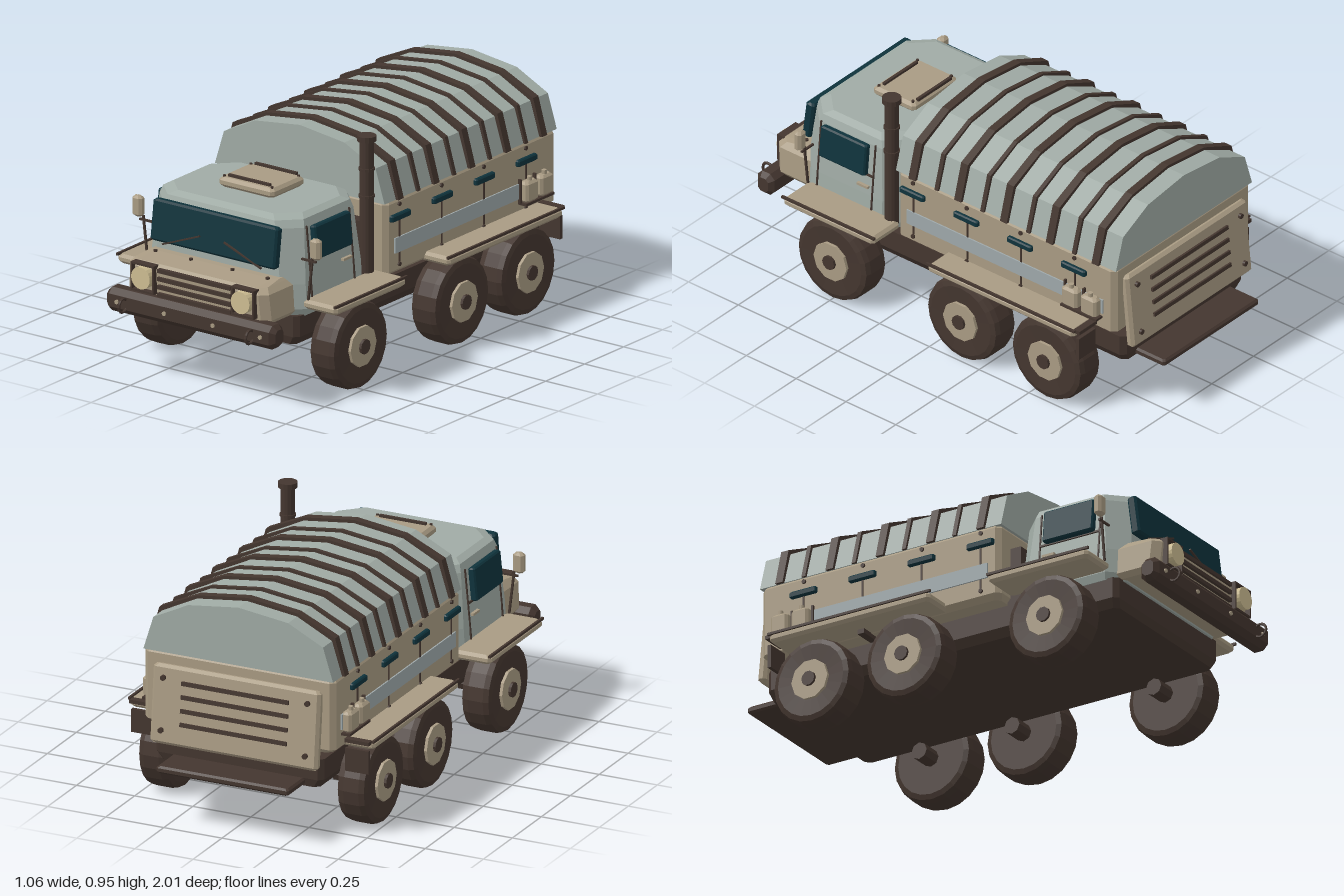
import * as THREE from 'three';

const mat = (name, color) => {
  const m = new THREE.MeshStandardMaterial({ color });
  m.name = name;
  m.flatShading = true;
  return m;
};

// Stack of chamfered rectangles, each ring = [y, halfWidth, zBack, zFront, cornerCut]
function loft(rings) {
  const pos = [], idx = [];
  for (const [y, h, a, b, c] of rings) {
    for (const [x, z] of [[h, b - c], [h, a + c], [h - c, a], [c - h, a],
      [-h, a + c], [-h, b - c], [c - h, b], [h - c, b]]) pos.push(x, y, z);
  }
  const top = (rings.length - 1) * 8;
  for (let i = 0; i < top; i += 8) for (let j = 0; j < 8; j++) {
    const k = (j + 1) % 8;
    idx.push(i + j, i + k, i + 8 + k, i + j, i + 8 + k, i + 8 + j);
  }
  for (let j = 1; j < 7; j++) idx.push(top, top + j, top + j + 1, 0, j + 1, j);
  const g = new THREE.BufferGeometry();
  g.setAttribute('position', new THREE.Float32BufferAttribute(pos, 3));
  g.setIndex(idx);
  const flat = g.toNonIndexed();
  flat.computeVertexNormals();
  return flat;
}

// Box with chamfered edges
const bevelBox = (w, h, d, b) => loft([
  [-h / 2, w / 2 - b, b - d / 2, d / 2 - b, b], [b - h / 2, w / 2, -d / 2, d / 2, b],
  [h / 2 - b, w / 2, -d / 2, d / 2, b], [h / 2, w / 2 - b, b - d / 2, d / 2 - b, b]]);

// Half outline of the canvas arch, widened by o
const arch = (o) => {
  const half = [[0.408 + o, 0.665], [0.365 + o, 0.803 + o], [0.215, 0.878 + o]];
  return [...half, [0, 0.905 + o], ...half.map(([x, y]) => [-x, y]).reverse()]
    .map(([x, y]) => new THREE.Vector2(x, y));
};

export function createModel() {
  const paint = mat('grey green paint', 0xa0aba5);
  const tan = mat('tan panel', 0xa99b83);
  const dark = mat('dark brown metal', 0x44362f);
  const glass = mat('teal glass', 0x0f333c);
  const lamp = mat('cream lamp', 0xcdbd92);
  const band = mat('pale blue grey band', 0x9ea8aa);

  const model = new THREE.Group();
  model.name = 'truck';
  const add = (name, geo, m, x = 0, y = 0, z = 0, rx = 0, ry = 0, rz = 0) => {
    const mesh = new THREE.Mesh(geo, m);
    mesh.name = name;
    mesh.position.set(x, y, z);
    mesh.rotation.set(rx, ry, rz);
    model.add(mesh);
    return mesh;
  };
  const box = (name, m, w, h, d, x, y, z, rx, ry, rz) =>
    add(name, new THREE.BoxGeometry(w, h, d), m, x, y, z, rx, ry, rz);
  const bev = (name, m, w, h, d, b, x, y, z, rx, ry, rz) =>
    add(name, bevelBox(w, h, d, b), m, x, y, z, rx, ry, rz);
  const cyl = (name, m, r, len, x, y, z, rx, rz, n = 12) =>
    add(name, new THREE.CylinderGeometry(r, r, len, n), m, x, y, z, rx, 0, rz);
  const Q = Math.PI / 2;

  // Chassis, rear step and cab to cargo link
  add('chassis', loft([[0.215, 0.34, -0.85, 0.735, 0.02], [0.25, 0.362, -0.86, 0.745, 0.02],
    [0.335, 0.362, -0.86, 0.745, 0.02]]), dark);
  bev('rearStep', dark, 0.57, 0.03, 0.16, 0.008, 0, 0.235, -0.92);
  box('link', dark, 0.66, 0.28, 0.06, 0, 0.45, 0.255);

  // Cab, windshield and roof hatch
  add('cab', loft([[0.33, 0.365, 0.285, 0.755, 0.06], [0.36, 0.376, 0.275, 0.77, 0.07],
    [0.46, 0.37, 0.275, 0.77, 0.07], [0.68, 0.348, 0.285, 0.76, 0.08],
    [0.71, 0.338, 0.295, 0.75, 0.08], [0.725, 0.31, 0.32, 0.72, 0.08]]), paint);
  bev('windshield', glass, 0.6, 0.165, 0.04, 0.008, 0, 0.612, 0.78, -0.13);
  bev('roofHatch', tan, 0.265, 0.04, 0.21, 0.012, 0, 0.745, 0.49);
  for (const z of [0.395, 0.565]) box('hatchBar', dark, 0.2, 0.012, 0.012, 0, 0.769, z);
  for (const x of [-0.115, 0.115]) for (const z of [0.405, 0.575])
    cyl('hatchBolt', dark, 0.006, 0.008, x, 0.766, z);

  // Hood and grille
  add('hood', loft([[0.335, 0.325, 0.7, 0.895, 0.03], [0.355, 0.342, 0.7, 0.91, 0.03],
    [0.46, 0.335, 0.7, 0.918, 0.03], [0.482, 0.315, 0.7, 0.9, 0.03],
    [0.492, 0.305, 0.7, 0.8, 0.02]]), tan);
  for (const y of [0.365, 0.397, 0.43, 0.463]) box('grilleBar', dark, 0.35, 0.016, 0.02, 0, y, 0.917);
  for (const x of [-0.27, -0.1, 0.1, 0.27]) cyl('hoodBolt', dark, 0.008, 0.012, x, 0.492, 0.81);

  // Front bumper
  add('bumper', loft([[-0.405, 0.03, -0.025, 0.025, 0.012], [-0.385, 0.048, -0.042, 0.042, 0.022],
    [0.385, 0.048, -0.042, 0.042, 0.022], [0.405, 0.03, -0.025, 0.025, 0.012]]),
    dark, 0, 0.31, 0.915, 0, 0, Q);

  // Cargo body and canopy
  add('cargoBody', loft([[0.36, 0.385, -0.835, 0.22, 0.02], [0.38, 0.41, -0.855, 0.238, 0.02],
    [0.655, 0.41, -0.855, 0.238, 0.02], [0.67, 0.4, -0.845, 0.23, 0.02]]), tan);
  const canopy = new THREE.ExtrudeGeometry(new THREE.Shape(arch(0)), { depth: 1.105, bevelEnabled: false });
  add('canopy', canopy, paint, 0, 0, -0.86);
  const rib = (z, w, o) => {
    const shape = new THREE.Shape([...arch(o), ...arch(-0.01).reverse()]);
    add('canopyRib', new THREE.ExtrudeGeometry(shape, { depth: w, bevelEnabled: false }), dark, 0, 0, z - w / 2);
  };
  for (let i = 0; i < 5; i++) rib(0.155 - i * 0.23, 0.034, 0.013);
  for (let i = 0; i < 4; i++) rib(0.035 - i * 0.23, 0.018, 0.01);

  // Tailgate with slats and bolts, leaning back at the bottom
  bev('tailgate', tan, 0.72, 0.32, 0.04, 0.012, 0, 0.46, -0.872, 0.1);
  for (let i = 0; i < 4; i++) box('tailgateSlat', dark, 0.46, 0.016, 0.016, 0, 0.56 - i * 0.055, -0.884 - i * 0.005, 0.1);
  for (const x of [-0.31, 0.31]) for (const y of [0.36, 0.57])
    cyl('tailgateBolt', dark, 0.011, 0.02, x, y, -0.903 + (y - 0.36) * 0.1, Q);

  // Exhaust stack on the left
  cyl('exhaustPipe', dark, 0.028, 0.56, 0.365, 0.66, 0.302, 0, 0, 14);
  cyl('exhaustCap', dark, 0.038, 0.022, 0.365, 0.945, 0.302, 0, 0, 14);
  for (const y of [0.71, 0.82]) cyl('exhaustBand', dark, 0.032, 0.01, 0.365, y, 0.302, 0, 0, 14);

  // Tyre profile around its own axle
  const tyre = new THREE.LatheGeometry([[0, -0.063], [0.15, -0.063], [0.17, -0.056], [0.177, -0.03], [0.177, 0.035],
    [0.17, 0.056], [0.15, 0.063], [0.085, 0.06], [0, 0.055]].map((p) => new THREE.Vector2(...p)), 20);

  for (const s of [1, -1]) {
    // Wheels
    for (const z of [0.5, -0.15, -0.575]) {
      add('tyre', tyre, dark, s * 0.427, 0.178, z, 0, 0, -s * Q);
      cyl('wheelHub', tan, 0.083, 0.03, s * 0.484, 0.178, z, 0, Q, 10);
      cyl('hubCap', dark, 0.03, 0.03, s * 0.495, 0.178, z, 0, Q, 10);
      cyl('axle', dark, 0.035, 0.1, s * 0.33, 0.178, z, 0, Q, 8);
    }

    // Fenders with dark edging and rear mud flap
    for (const [z0, z1] of [[0.26, 0.715], [-0.745, -0.01]]) {
      const z = (z0 + z1) / 2, d = z1 - z0;
      bev('fender', tan, 0.165, 0.038, d, 0.012, s * 0.445, 0.382, z);
      box('fenderEdge', dark, 0.01, 0.01, d + 0.01, s * 0.524, 0.4, z);
      box('fenderStay', dark, 0.1, 0.02, 0.03, s * 0.39, 0.354, z);
    }
    box('mudFlap', dark, 0.1, 0.095, 0.015, s * 0.46, 0.315, -0.752);
    box('flapBracket', dark, 0.11, 0.015, 0.03, s * 0.46, 0.395, -0.752);

    // Headlight with square frame
    cyl('headlight', lamp, 0.045, 0.035, s * 0.24, 0.425, 0.93, Q, 0, 20);
    for (const x of [0.19, 0.292]) box('lampFrameSide', dark, 0.008, 0.11, 0.035, s * x, 0.422, 0.918);
    for (const y of [0.368, 0.476]) box('lampFrameBar', dark, 0.11, 0.008, 0.035, s * 0.241, y, 0.918);

    // Bumper ring, ribs and bolts
    add('towRing', new THREE.TorusGeometry(0.027, 0.006, 6, 14), dark, s * 0.305, 0.307, 0.972, 0, Q);
    for (const x of [0.117, 0.345]) cyl('bumperBolt', tan, 0.009, 0.012, s * x, 0.31, 0.957, Q, 0, 8);

    // Wiper
    box('wiper', dark, 0.192, 0.006, 0.008, s * 0.148, 0.561, 0.809, 0, 0, -s * 0.37);

    // Door: window, outline and handle
    bev('sideWindow', glass, 0.03, 0.135, 0.23, 0.006, s * 0.37, 0.615, 0.535, 0, 0, s * 0.1);
    for (const z of [0.668, 0.395]) box('doorSeam', dark, 0.008, 0.29, 0.006, s * 0.363, 0.54, z, 0, 0, s * 0.095);
    box('doorBelt', dark, 0.01, 0.008, 0.27, s * 0.363, 0.546, 0.53, 0, 0, s * 0.1);
    box('doorHandle', tan, 0.018, 0.01, 0.055, s * 0.37, 0.495, 0.44);

    // Mirror on its stay
    bev('mirror', tan, 0.046, 0.085, 0.035, 0.01, s * 0.428, 0.617, 0.71);
    box('mirrorStay', dark, 0.07, 0.008, 0.008, s * 0.39, 0.562, 0.705);
    box('mirrorPost', dark, 0.008, 0.18, 0.008, s * 0.397, 0.49, 0.705, 0, 0, -s * 0.12);

    // Cargo side band, marker lights, seams and rivets
    box('sideBand', band, 0.016, 0.062, 0.985, s * 0.408, 0.481, -0.307);
    for (let i = 0; i < 4; i++) {
      const z = 0.155 - i * 0.27;
      bev('sideMarker', glass, 0.03, 0.027, 0.122, 0.005, s * 0.411, 0.597, z);
      box('sideSeam', dark, 0.01, 0.175, 0.007, s * 0.409, 0.497, z - 0.002);
      for (const y of [0.4, 0.645]) cyl('sideBolt', dark, 0.009, 0.012, s * 0.411, y, z, 0, Q, 8);
    }

    // Two jerrycans on a rack
    for (const z of [-0.655, -0.75]) {
      bev('jerrycan', tan, 0.045, 0.085, 0.078, 0.01, s * 0.427, 0.477, z);
      box('canStrap', dark, 0.014, 0.1, 0.008, s * 0.416, 0.48, z + 0.043);
      cyl('canCap', tan, 0.01, 0.02, s * 0.43, 0.525, z);
    }
    box('canRack', dark, 0.04, 0.01, 0.18, s * 0.427, 0.43, -0.703);
  }
  return model;
}
